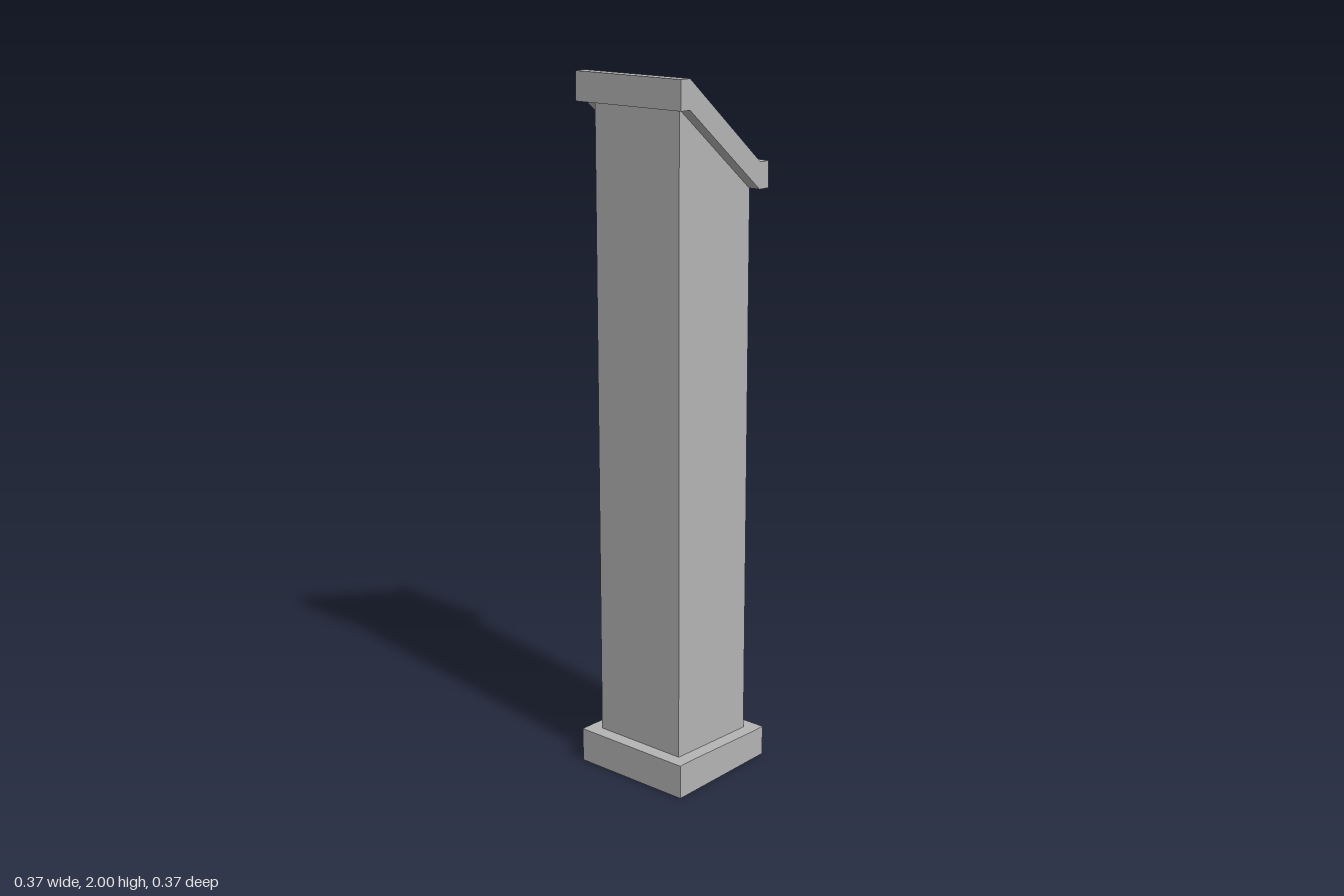
import * as THREE from 'three';

// Extrude a side profile (x, y) along z between z0 and z1.
function prism(name, points, z0, z1, material) {
  const shape = new THREE.Shape(points.map(([x, y]) => new THREE.Vector2(x, y)));
  const geometry = new THREE.ExtrudeGeometry(shape, { depth: z1 - z0, bevelEnabled: false });
  geometry.translate(0, 0, z0);
  const mesh = new THREE.Mesh(geometry, material);
  mesh.name = name;
  return mesh;
}

export function createModel() {
  const model = new THREE.Group();
  model.name = 'pedestal';
  const grey = new THREE.MeshStandardMaterial({ color: 0xb4b4b4 });
  grey.name = 'grey';

  // Foot, with a top that falls slightly towards the low side
  model.add(prism('base', [
    [-0.187, 0], [0.187, 0], [0.187, 0.088], [0.147, 0.088], [-0.147, 0.1], [-0.187, 0.1],
  ], -0.187, 0.187, grey));

  // Square column cut at a slant
  model.add(prism('column', [
    [-0.147, 0.05], [0.147, 0.05], [0.147, 1.69], [-0.147, 1.93],
  ], -0.147, 0.147, grey));

  // Sloping head: two solid sides and a notched middle that form a pocket
  const half = 0.183, pocket = 0.107;
  const under = [[-half, 2], [-half, 1.92], [-0.147, 1.92], [0.145, 1.683], [half, 1.683], [half, 1.757], [0.147, 1.757]];
  const ridge = [-0.147, 2];
  const notch = [[0.043, 1.843], [0.019, 1.813], [-0.121, 1.929], [-0.097, 1.959]];
  const head = new THREE.Group();
  head.name = 'slopingHead';
  head.add(
    prism('headSideBack', [...under, ridge], -half, -pocket, grey),
    prism('headMiddle', [...under, ...notch, ridge], -pocket, pocket, grey),
    prism('headSideFront', [...under, ridge], pocket, half, grey),
  );
  model.add(head);

  // Raised panel standing in the pocket
  model.add(prism('panel', [
    [-0.069, 1.961], [-0.107, 1.915], [0.003, 1.824], [0.041, 1.869],
  ], -0.087, 0.087, grey));

  return model;
}
